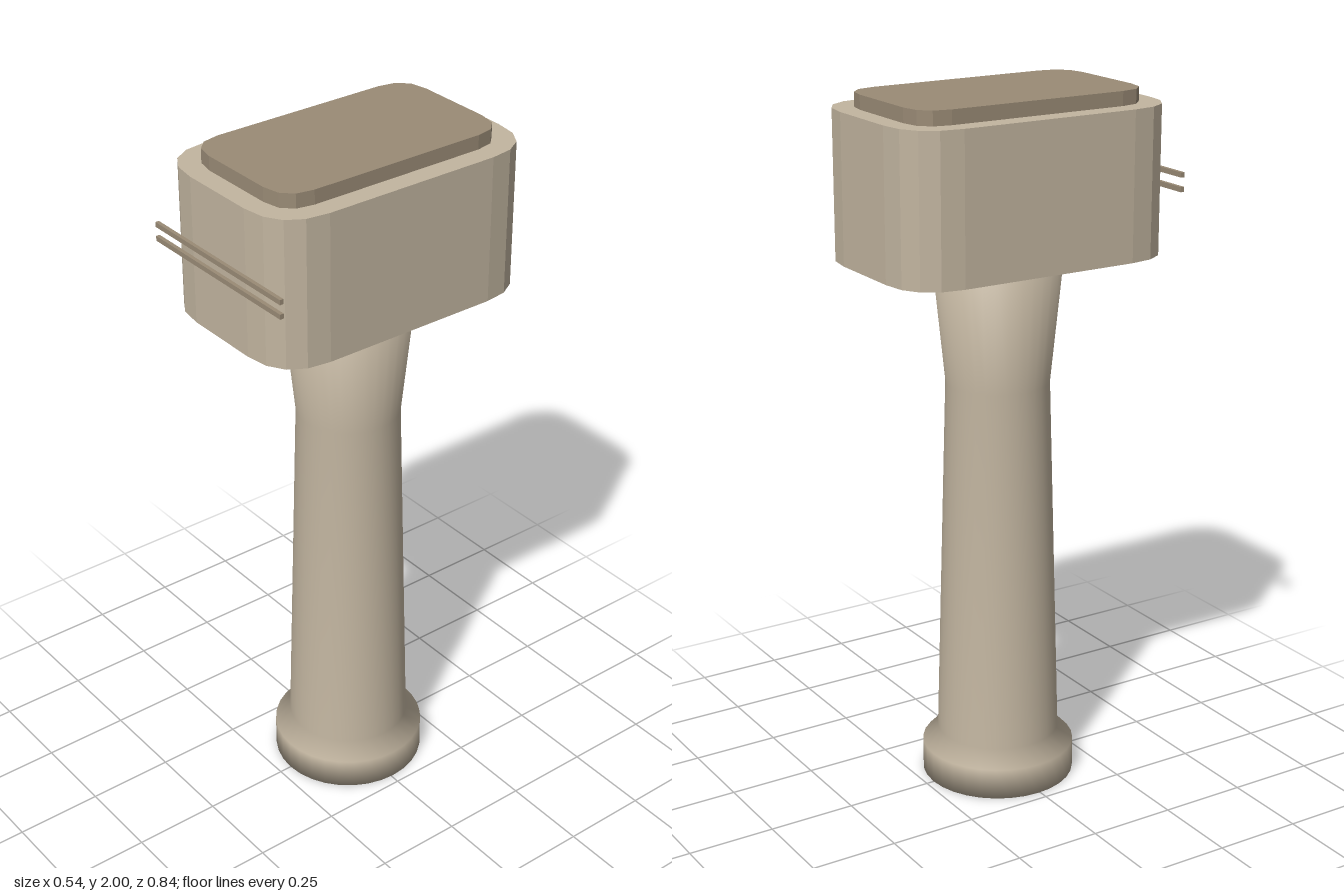
import * as THREE from 'three';

const stone = new THREE.MeshStandardMaterial({ color: 0xc2b5a0 });
stone.name = 'pale stone';
const trim = new THREE.MeshStandardMaterial({ color: 0x9a8b76 });
trim.name = 'dark stone';

// Upright block with a rounded-rectangle plan
function roundedBlock(name, material, halfX, halfZ, radius, y0, y1, segments) {
  const s = new THREE.Shape();
  s.moveTo(-halfX + radius, -halfZ);
  s.lineTo(halfX - radius, -halfZ);
  s.quadraticCurveTo(halfX, -halfZ, halfX, -halfZ + radius);
  s.lineTo(halfX, halfZ - radius);
  s.quadraticCurveTo(halfX, halfZ, halfX - radius, halfZ);
  s.lineTo(-halfX + radius, halfZ);
  s.quadraticCurveTo(-halfX, halfZ, -halfX, halfZ - radius);
  s.lineTo(-halfX, -halfZ + radius);
  s.quadraticCurveTo(-halfX, -halfZ, -halfX + radius, -halfZ);
  const geometry = new THREE.ExtrudeGeometry(s, {
    depth: y1 - y0, bevelEnabled: false, curveSegments: segments,
  });
  geometry.rotateX(-Math.PI / 2);
  const mesh = new THREE.Mesh(geometry, material);
  mesh.name = name;
  mesh.position.set(0, y0, -0.007);
  return mesh;
}

export function createModel() {
  const model = new THREE.Group();
  model.name = 'mallet';

  // Turned handle with a flared neck and a foot
  const profile = [
    [0, 0], [0.22, 0], [0.22, 0.09], [0.176, 0.135],
    [0.146, 1.19], [0.182, 1.55], [0, 1.55],
  ].map(([r, y]) => new THREE.Vector2(r, y));
  const handle = new THREE.Mesh(new THREE.LatheGeometry(profile, 32), stone);
  handle.name = 'handle';
  handle.position.z = -0.007;
  model.add(handle);

  // Head and its raised top plate
  model.add(roundedBlock('head', stone, 0.265, 0.413, 0.15, 1.545, 1.96, 4));
  model.add(roundedBlock('topPlate', trim, 0.205, 0.354, 0.09, 1.96, 2, 3));

  // Two thin bars across the front of the head
  for (const y of [1.73, 1.77]) {
    const bar = new THREE.Mesh(new THREE.BoxGeometry(0.544, 0.014, 0.011), trim);
    bar.name = 'frontBar';
    bar.position.set(0, y, 0.411);
    model.add(bar);
  }
  return model;
}
